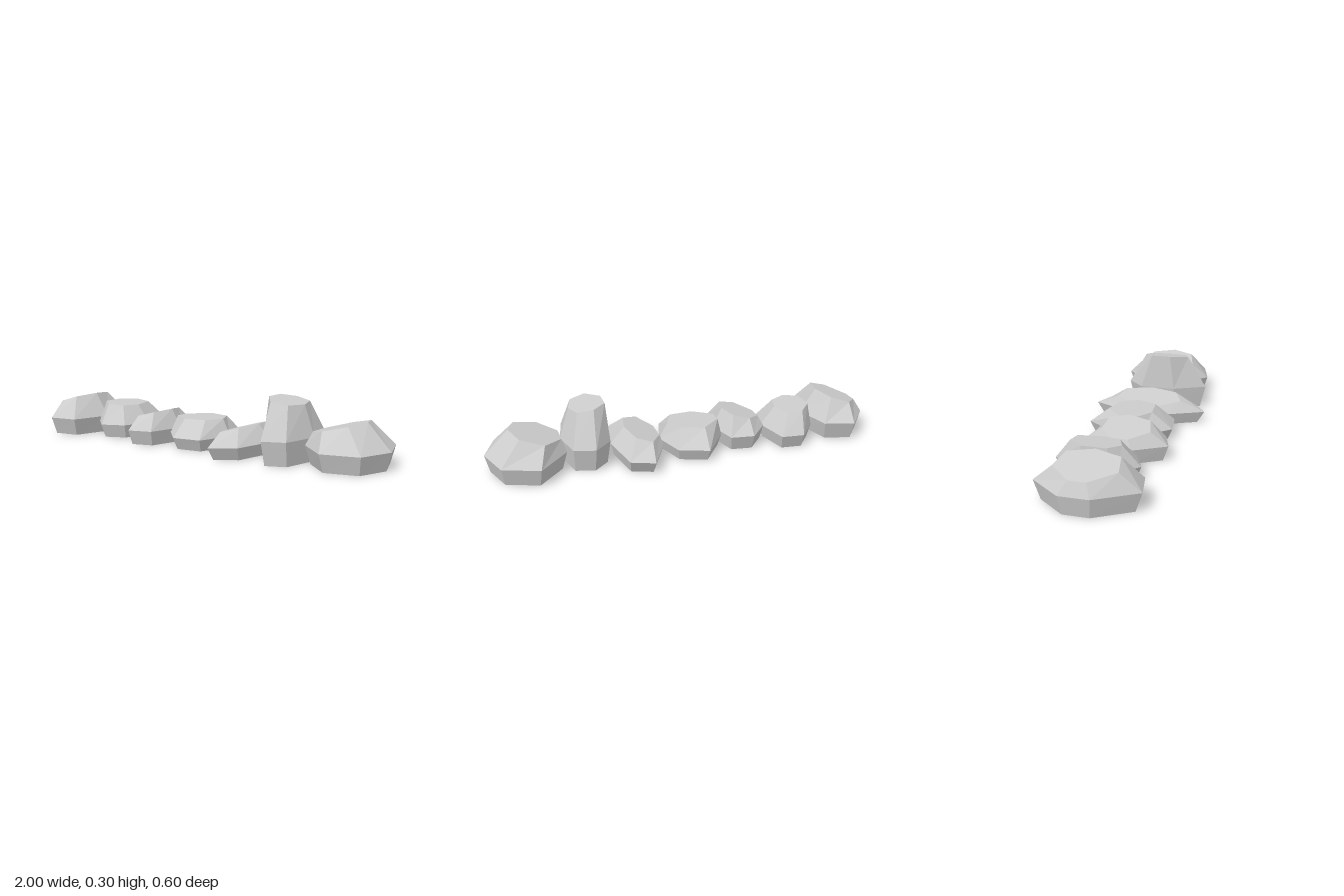
import * as THREE from 'three';

// Shared seven-corner layout: position of each corner across the stone's width,
// running left-back, back, right, front, left-front.
const ACROSS = [0, 0.38, 0.84, 1, 0.84, 0.38, 0];
const SIDES = ACROSS.length;

// x: widest extent, waist: height of widest ring, z: depth of its corners,
// topX: extent of the cap, topY: cap height at its left and right, shrink: cap depth ratio
const STONES = [
  { x: [-1, -0.68], waist: 0.09, z: [-0.055, -0.21, -0.165, 0.035, 0.24, 0.27, 0.085], topX: [-0.97, -0.765], topY: [0.15, 0.212], shrink: 0.6 },
  { x: [-0.68, -0.425], waist: 0.07, z: [-0.1, -0.225, -0.215, -0.025, 0.125, 0.18, 0.095], topX: [-0.67, -0.5], topY: [0.177, 0.163], shrink: 0.6 },
  { x: [-0.43, -0.17], waist: 0.075, z: [-0.05, -0.17, -0.155, 0.01, 0.2, 0.24, 0.085], topX: [-0.41, -0.22], topY: [0.12, 0.172], shrink: 0.58 },
  { x: [-0.19, 0.13], waist: 0.06, z: [-0.065, -0.24, -0.185, -0.015, 0.17, 0.195, 0.07], topX: [-0.175, 0.085], topY: [0.142, 0.145], shrink: 0.52 },
  { x: [0.13, 0.38], waist: 0.062, z: [-0.1, -0.3, -0.255, -0.01, 0.22, 0.297, 0.11], topX: [0.14, 0.31], topY: [0.1, 0.145], shrink: 0.58 },
  { x: [0.4, 0.63], waist: 0.117, z: [-0.1, -0.19, -0.16, 0.01, 0.2, 0.247, 0.085], topX: [0.41, 0.58], topY: [0.297, 0.268], shrink: 0.55 },
  { x: [0.615, 1], waist: 0.088, z: [-0.1, -0.27, -0.205, -0.02, 0.155, 0.205, 0.07], topX: [0.635, 0.88], topY: [0.15, 0.21], shrink: 0.64 },
];

const mix = THREE.MathUtils.lerp;

function centroid(ring) {
  return ring.reduce((sum, p) => sum.add(p), new THREE.Vector3()).divideScalar(ring.length);
}

// Faceted stone from three rings: foot, waist and sloping cap
function stoneGeometry({ x, waist, z, topX, topY, shrink }) {
  const midX = (x[0] + x[1]) / 2;
  const midZ = (Math.min(...z) + Math.max(...z)) / 2;
  const widest = ACROSS.map((t, i) => new THREE.Vector3(mix(x[0], x[1], t), waist, z[i]));
  const foot = widest.map(p => new THREE.Vector3(mix(midX, p.x, 0.88), 0, mix(midZ, p.z, 0.87)));
  const cap = ACROSS.map((t, i) => new THREE.Vector3(
    mix(topX[0], topX[1], t), mix(topY[0], topY[1], t), mix(midZ, z[i], shrink)));

  const points = [];
  const footCentre = centroid(foot), capCentre = centroid(cap);
  for (let i = 0; i < SIDES; i++) {
    const j = (i + 1) % SIDES;
    for (const [a, b] of [[foot, widest], [widest, cap]]) {
      points.push(a[i], b[i], a[j], a[j], b[i], b[j]);
    }
    points.push(footCentre, foot[i], foot[j]);
    points.push(capCentre, cap[j], cap[i]);
  }
  const geometry = new THREE.BufferGeometry().setFromPoints(points);
  geometry.computeVertexNormals();
  return geometry;
}

export function createModel() {
  const model = new THREE.Group();
  model.name = 'rowOfStones';
  const material = new THREE.MeshStandardMaterial({ color: 0xcccccc, flatShading: true });
  STONES.forEach((stone, i) => {
    const mesh = new THREE.Mesh(stoneGeometry(stone), material);
    mesh.name = `stone${i + 1}`;
    model.add(mesh);
  });
  return model;
}
